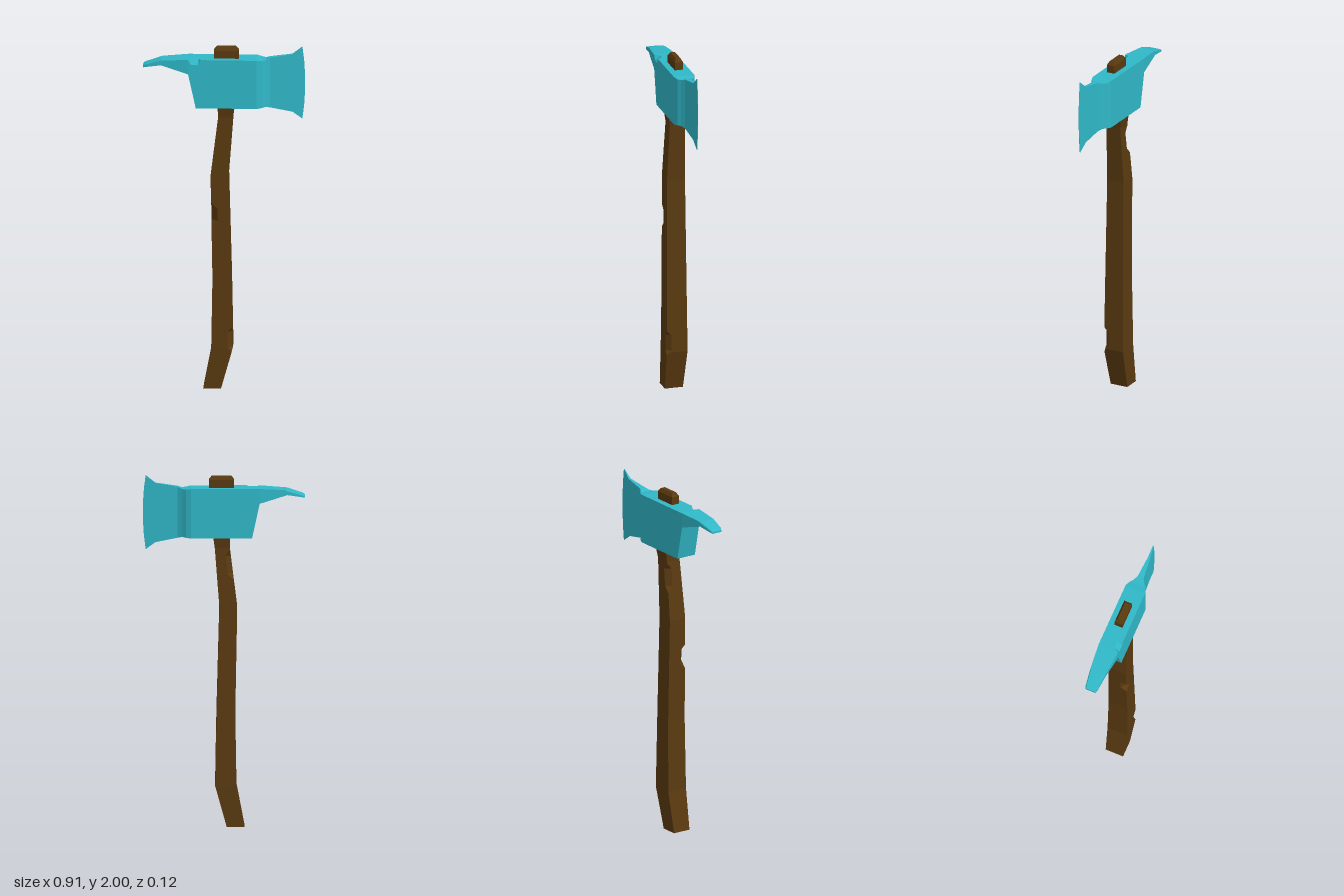
import * as THREE from 'three';

const lerp = THREE.MathUtils.lerp;

// Piecewise-linear lookup in rows sorted by their first value
function sample(rows, t) {
  if (t <= rows[0][0]) return rows[0];
  for (let i = 1; i < rows.length; i++) {
    const a = rows[i - 1], b = rows[i];
    if (t <= b[0]) return a.map((v, k) => lerp(v, b[k], (t - a[0]) / (b[0] - a[0])));
  }
  return rows[rows.length - 1];
}

// Lofts rectangular sections [position, low, high, halfDepth] along x or y.
// Each cut {corner, rows: [position, size]} carves a nick into one long edge.
// Corners: 0 low/back, 1 high/back, 2 high/front, 3 low/front.
function loft(sections, axis, cuts = []) {
  const stops = [...new Set([...sections, ...cuts.flatMap(c => c.rows)].map(r => r[0]))].sort((a, b) => a - b);
  const rings = stops.map(t => {
    const [, lo, hi, h] = sample(sections, t);
    const c = [0, 0, 0, 0];
    for (const cut of cuts) {
      const { rows } = cut;
      if (t >= rows[0][0] && t <= rows[rows.length - 1][0]) c[cut.corner] += sample(rows, t)[1];
    }
    return [
      [lo, -h + c[0]], [lo + c[0], -h], [hi - c[1], -h], [hi, -h + c[1]],
      [hi, h - c[2]], [hi - c[2], h], [lo + c[3], h], [lo, h - c[3]],
    ].map(([u, w]) => axis === 'y' ? new THREE.Vector3(u, t, w) : new THREE.Vector3(t, u, w));
  });

  const positions = [];
  const tri = (a, b, c) => {
    if (new THREE.Triangle(a, b, c).getArea() < 1e-8) return;
    for (const p of axis === 'y' ? [a, b, c] : [a, c, b]) positions.push(p.x, p.y, p.z);
  };
  for (let i = 0; i + 1 < rings.length; i++) {
    for (let k = 0; k < 8; k++) {
      const n = (k + 1) % 8, r = rings[i], s = rings[i + 1];
      tri(r[k], s[k], r[n]);
      tri(r[n], s[k], s[n]);
    }
  }
  const first = rings[0], last = rings[rings.length - 1];
  for (let k = 1; k < 7; k++) {
    tri(first[0], first[k], first[k + 1]);
    tri(last[0], last[k + 1], last[k]);
  }
  const geometry = new THREE.BufferGeometry();
  geometry.setAttribute('position', new THREE.Float32BufferAttribute(positions, 3));
  geometry.computeVertexNormals();
  return geometry;
}

export function createModel() {
  const wood = new THREE.MeshStandardMaterial({ color: 0x5a3a10, flatShading: true });
  const steel = new THREE.MeshStandardMaterial({ color: 0x30b8c8, flatShading: true });
  const group = new THREE.Group();
  const add = (name, geometry, material) => {
    const mesh = new THREE.Mesh(geometry, material);
    mesh.name = name;
    group.add(mesh);
  };
  const nick = (corner, start, end, size, slope) => ({
    corner, rows: [[start, 0], [start + slope, size], [end - slope, size], [end, 0]],
  });

  // Curved wooden handle with three nicks
  add('handle', loft([
    [0, -0.115, -0.015, 0.053],
    [0.235, -0.07, 0.05, 0.061],
    [0.65, -0.063, 0.042, 0.057],
    [1.25, -0.074, 0.026, 0.053],
    [1.59, -0.032, 0.052, 0.044],
    [1.66, -0.035, 0.062, 0.054],
  ], 'y', [
    nick(3, 0.95, 1.09, 0.036, 0.035),
    nick(2, 0.215, 0.365, 0.028, 0.03),
    nick(0, 1.41, 1.58, 0.03, 0.035),
  ]), wood);

  // Handle end showing above the head
  add('handleTop', loft([
    [1.9, -0.056, 0.083, 0.024],
    [1.975, -0.056, 0.083, 0.024],
    [1.995, -0.04, 0.067, 0.013],
  ], 'y'), wood);

  // Head: pick, socket block and flared blade
  add('axeHead', loft([
    [-0.455, 1.874, 1.885, 0.03],
    [-0.44, 1.878, 1.893, 0.036],
    [-0.355, 1.892, 1.92, 0.046],
    [-0.2, 1.845, 1.93, 0.06],
    [-0.157, 1.647, 1.93, 0.06],
    [0.185, 1.647, 1.93, 0.06],
    [0.215, 1.65, 1.925, 0.049],
    [0.235, 1.652, 1.925, 0.033],
    [0.26, 1.645, 1.936, 0.018],
    [0.385, 1.618, 1.956, 0.007],
    [0.44, 1.577, 2, 0.002],
    [0.45, 1.66, 1.92, 0.001],
    [0.455, 1.74, 1.84, 0.0005],
  ], 'x', [
    nick(2, -0.2, -0.127, 0.029, 0.016),
    { corner: 1, rows: [[-0.455, 0.005], [-0.355, 0.005], [-0.345, 0]] },
  ]), steel);

  return group;
}
